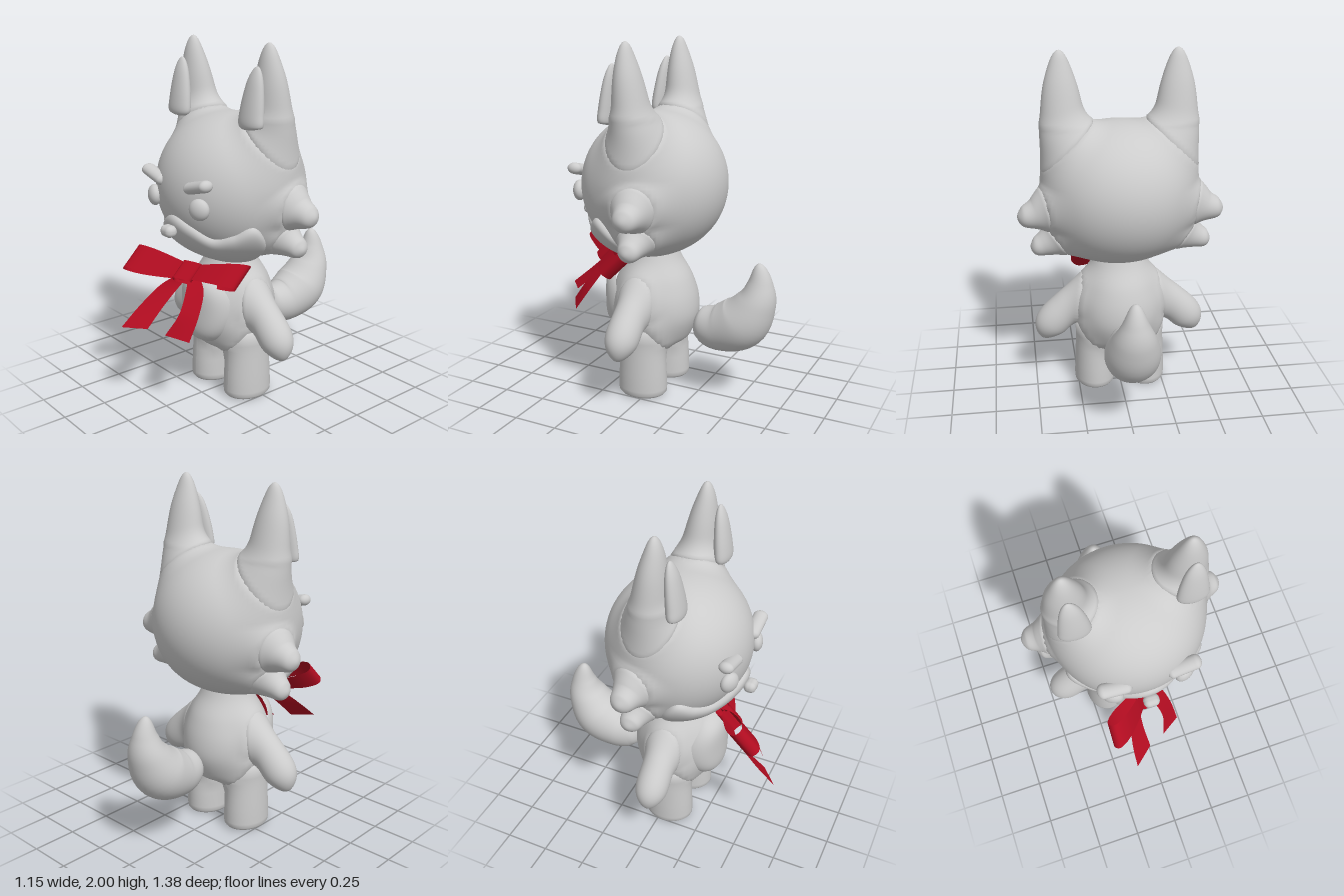
import * as THREE from 'three';
import { mergeVertices } from 'three/addons/utils/BufferGeometryUtils.js';
import { RoundedBoxGeometry } from 'three/addons/geometries/RoundedBoxGeometry.js';

const V = (x, y, z) => new THREE.Vector3(x, y, z);
const spline = (points, closed = false) => new THREE.CatmullRomCurve3(points, closed, 'catmullrom', 0.5);
const ringPath = (rings, mirror) => spline(rings.map(([x, y, z]) => V(x * mirror, y, z)));
// Squared radii are interpolated, so zero-radius ends become round.
const ringSize = (rings) => spline(rings.map((r) => V(r[3] ** 2, r[4] ** 2, 0)));

// Smooth surface through fn(u, v); the outside is du x dv.
function surface(fn, nu, nv) {
  const pos = [], index = [];
  for (let j = 0; j <= nv; j++) {
    for (let i = 0; i <= nu; i++) pos.push(...fn(i / nu, j / nv).toArray());
  }
  for (let j = 0; j < nv; j++) {
    for (let i = 0; i < nu; i++) {
      const a = j * (nu + 1) + i, d = a + nu + 1;
      index.push(a, a + 1, d + 1, a, d + 1, d);
    }
  }
  let g = new THREE.BufferGeometry();
  g.setAttribute('position', new THREE.Float32BufferAttribute(pos, 3));
  g.setIndex(index);
  g = mergeVertices(g, 1e-5);
  g.computeVertexNormals();
  return g;
}

// Elliptical rings [x, y, z, radius along side, radius across] along a spline.
function loft(rings, side, mirror = 1) {
  const path = ringPath(rings, mirror), size = ringSize(rings);
  return surface((u, v) => {
    const t = (1 - Math.cos(Math.PI * v)) / 2;
    const T = path.getTangent(t), r = size.getPoint(t), a = u * Math.PI * 2;
    const S = side.clone().addScaledVector(T, -side.dot(T)).normalize();
    const B = T.clone().cross(S);
    return path.getPoint(t)
      .addScaledVector(S, Math.cos(a) * Math.sqrt(Math.max(r.x, 0)))
      .addScaledVector(B, Math.sin(a) * Math.sqrt(Math.max(r.y, 0)));
  }, 48, 56);
}

// Approximate distance from a point to a loft.
function loftDistance(rings, mirror) {
  const path = ringPath(rings, mirror), size = ringSize(rings);
  const balls = Array.from({ length: 31 }, (_, i) => {
    const r = size.getPoint(i / 30);
    return [path.getPoint(i / 30), Math.sqrt((Math.max(r.x, 0) + Math.max(r.y, 0)) / 2)];
  });
  return (p) => Math.min(...balls.map(([c, r]) => p.distanceTo(c) - r));
}

// Swell a surface outward where it meets other parts, so they join in a soft fillet of width k.
function fillet(g, k, others) {
  const pos = g.attributes.position, nor = g.attributes.normal;
  const p = V(), n = V(), q = V();
  for (let i = 0; i < pos.count; i++) {
    p.fromBufferAttribute(pos, i);
    n.fromBufferAttribute(nor, i);
    let t = 0;
    for (let step = 0; step < 7; step++) {
      q.copy(p).addScaledVector(n, t);
      const d = Math.min(...others.map((f) => f(q)));
      const h = Math.max(k - Math.abs(t - d), 0) / k;
      t = (t + h * h * k / 4) / 2;
    }
    p.addScaledVector(n, t);
    pos.setXYZ(i, p.x, p.y, p.z);
  }
  g.computeVertexNormals();
  return g;
}

// Cloth strip between two edge curves.
function ribbon(left, right, closed = false) {
  const a = spline(left, closed), b = spline(right, closed);
  return surface((u, v) => a.getPoint(v).lerp(b.getPoint(v), u), 4, 40);
}

// Head surface by heading and elevation; s scales it outward.
const headPoint = (phi, e, s = 1) => {
  const c = Math.max(Math.cos(e), 0);
  return V(0.43 * s * c ** 0.8 * Math.sin(phi), 1.21 + 0.405 * s * Math.sin(e), 0.03 + 0.405 * s * c * Math.cos(phi));
};
const headDistance = (p) => {
  const y = (p.y - 1.21) / 0.405;
  const x = p.x / 0.43 * (1 - Math.min(y * y, 0.98)) ** 0.1;
  return (Math.hypot(x, y, (p.z - 0.03) / 0.405) - 1) * 0.41;
};
const bodyDistance = (p) => (Math.hypot(p.x / 0.25, (p.y - 0.53) / 0.28, (p.z - 0.03) / 0.25) - 1) * 0.25;

const BODY = [[0, 0.26, 0.03, 0, 0], [0, 0.3, 0.03, 0.18, 0.18], [0, 0.36, 0.03, 0.225, 0.222],
  [0, 0.46, 0.03, 0.25, 0.255], [0, 0.56, 0.03, 0.248, 0.25], [0, 0.67, 0.03, 0.215, 0.215],
  [0, 0.78, 0.03, 0.165, 0.15], [0, 0.9, 0.03, 0.12, 0.1]];
const EAR = [[0.26, 1.3, 0, 0.13, 0.13], [0.288, 1.5, 0, 0.137, 0.125], [0.303, 1.6, 0.008, 0.131, 0.11],
  [0.31, 1.69, 0.015, 0.115, 0.094], [0.315, 1.8, 0.025, 0.095, 0.076],
  [0.317, 1.91, 0.035, 0.062, 0.05], [0.318, 2, 0.038, 0, 0]];
const INNER_EAR = [[0.308, 1.568, 0.15, 0, 0], [0.307, 1.59, 0.15, 0.083, 0.042], [0.307, 1.66, 0.143, 0.081, 0.044],
  [0.312, 1.79, 0.128, 0.058, 0.034], [0.318, 1.887, 0.115, 0, 0]];
const UPPER_TUFT = [[0.3, 1.17, -0.04, 0.11, 0.12], [0.41, 1.15, -0.05, 0.088, 0.1], [0.475, 1.13, -0.057, 0.076, 0.078],
  [0.535, 1.118, -0.062, 0.063, 0.06], [0.573, 1.115, -0.065, 0, 0]];
const LOWER_TUFT = [[0.26, 1.02, -0.03, 0.09, 0.1], [0.36, 0.97, -0.04, 0.072, 0.075], [0.43, 0.945, -0.047, 0.063, 0.062],
  [0.475, 0.932, -0.05, 0.055, 0.051], [0.507, 0.927, -0.05, 0, 0]];
const ARM = [[0.08, 0.66, 0.035, 0.07, 0.08], [0.2, 0.6, 0.035, 0.085, 0.085], [0.31, 0.5, 0.035, 0.092, 0.097],
  [0.405, 0.4, 0.035, 0.09, 0.096], [0.46, 0.308, 0.035, 0, 0]];
const TAIL = [[0, 0.43, -0.222, 0, 0], [0, 0.425, -0.27, 0.095, 0.1], [0, 0.42, -0.38, 0.13, 0.135],
  [0, 0.478, -0.51, 0.152, 0.15], [0, 0.6, -0.588, 0.12, 0.112],
  [0, 0.71, -0.608, 0.072, 0.072], [0, 0.825, -0.6, 0, 0]];
const LEG_CORE = [[0.15, 0.1, 0.035, 0.112, 0.13], [0.15, 0.4, 0.035, 0.112, 0.13]];

export function createModel() {
  const model = new THREE.Group();
  model.name = 'bowTieFox';
  const grey = new THREE.MeshStandardMaterial({ color: 0xcccccc });
  const red = new THREE.MeshStandardMaterial({ color: 0xb00c20, side: THREE.DoubleSide });
  const X = V(1, 0, 0), Z = V(0, 0, 1);
  const add = (name, geometry, material = grey) => {
    const m = new THREE.Mesh(geometry, material);
    m.name = name;
    model.add(m);
    return m;
  };
  const bothSides = (...parts) => parts.flatMap((rings) => [loftDistance(rings, 1), loftDistance(rings, -1)]);

  // Head, swelling towards ears and cheek tufts
  const skull = surface((u, v) => headPoint((u - 0.5) * Math.PI * 2, (v - 0.5) * Math.PI), 96, 64);
  add('head', fillet(skull, 0.13, bothSides(EAR, UPPER_TUFT, LOWER_TUFT)));

  // Muzzle: a padded shell hugging the lower face, with a wavy upper edge
  const half = [-0.39, -0.55, -0.47, -0.35, -0.72];
  const lip = spline([...half.slice().reverse(), -0.27, ...half].map((e) => V(0, e, 0)));
  add('muzzle', surface((u, v) => {
    const w = Math.sin(v * Math.PI / 2);
    const k = -Math.cos(u * Math.PI);
    const edge = Math.sqrt(Math.max(0, (1 - Math.abs(k) ** 12) * (1 - w ** 14)));
    const e = THREE.MathUtils.lerp(-1.52, lip.getPoint((k + 1) / 2).y, w);
    return headPoint(k * 1.47, e, 0.975 + edge * (0.06 + 0.065 * w));
  }, 96, 40));

  const nose = add('nose', new RoundedBoxGeometry(0.09, 0.065, 0.07, 5, 0.03));
  nose.position.set(0, 1.02, 0.455);

  // Body, swelling towards arms and legs
  add('body', fillet(loft(BODY, X), 0.09, bothSides(ARM, LEG_CORE)));

  // Belly patch: a thin padded oval following the body
  add('bellyPatch', surface((u, v) => {
    const a = -u * Math.PI * 2, r = Math.sin(v * Math.PI / 2);
    const x = 0.19 * r * Math.cos(a), dy = 0.215 * r * Math.sin(a);
    const bulge = Math.sqrt((1 - (x / 0.255) ** 2) * (1 - (dy / 0.27) ** 4));
    return V(x, 0.54 + dy, 0.01 + 0.25 * bulge + 0.062 * Math.sqrt(Math.max(0, 1 - r ** 8)));
  }, 56, 24));

  // Tail, curling up behind
  add('tail', loft(TAIL, X));

  const legProfile = [[0, 0], [0.09, 0], [0.108, 0.006], [0.118, 0.02], [0.12, 0.045], [0.117, 0.14],
    [0.114, 0.2], [0.112, 0.25], [0.11, 0.29], [0.108, 0.33], [0.105, 0.4], [0, 0.42]]
    .map(([r, y]) => new THREE.Vector2(r, y));

  for (const s of [1, -1]) {
    const side = s > 0 ? 'left' : 'right';
    // Ears and cheek tufts
    add(side + 'Ear', fillet(loft(EAR, X, s), 0.13, [headDistance]));
    add(side + 'InnerEar', loft(INNER_EAR, X, s));
    add(side + 'UpperCheekTuft', fillet(loft(UPPER_TUFT, Z, s), 0.13, [headDistance]));
    add(side + 'LowerCheekTuft', fillet(loft(LOWER_TUFT, Z, s), 0.13, [headDistance]));

    // Eyes and slanted brows
    const eye = add(side + 'Eye', new THREE.SphereGeometry(0.058, 28, 20));
    eye.scale.z = 0.65;
    eye.position.set(0.2 * s, 1.17, 0.402);
    eye.rotation.y = 0.4 * s;
    const brow = add(side + 'Brow', new THREE.CapsuleGeometry(0.032, 0.128, 10, 24));
    brow.scale.z = 1.3;
    brow.position.set(0.19 * s, 1.286, 0.4);
    brow.rotation.z = s * (0.26 - Math.PI / 2);

    // Arms and legs
    add(side + 'Arm', fillet(loft(ARM, Z, s), 0.09, [bodyDistance]));
    const leg = new THREE.LatheGeometry(legProfile, 48).scale(1, 1, 1.2).translate(0.15 * s, 0, 0.035);
    add(side + 'Leg', fillet(leg, 0.09, [bodyDistance]));
  }

  // Bow: along, across and through directions of the tilted cloth
  const knot = V(0, 0.758, 0.335);
  const across = V(0, 0.68, -0.68);
  const through = V(0.55, 0.54, 0.54).normalize();
  const bowLoop = (along, outline, name) => {
    const edge = (sign) => outline.map(([a, n, w]) => knot.clone().addScaledVector(along, a)
      .addScaledVector(through, n).addScaledVector(across, w * sign));
    add(name, ribbon(edge(1), edge(-1), true), red);
  };
  const loopOutline = [[0.03, 0.008, 0.045], [0.3, 0.034, 0.058], [0.7, 0.048, 0.074], [0.96, 0.028, 0.08],
    [0.96, -0.028, 0.08], [0.7, -0.048, 0.074], [0.3, -0.034, 0.058], [0.03, -0.008, 0.045]];
  bowLoop(V(-0.25, 0.07, 0.205), loopOutline, 'rightBowLoop');
  bowLoop(V(0.26, -0.005, -0.18), loopOutline, 'leftBowLoop');
  bowLoop(V(0.04, -0.009, -0.032), [[1, 0, 0.06], [0.8, 0.04, 0.06], [-0.8, 0.04, 0.06],
    [-1, 0, 0.06], [-0.8, -0.04, 0.06], [0.8, -0.04, 0.06]], 'bowKnot');

  // Hanging bow ends
  add('rightBowEnd', ribbon(
    [V(-0.04, 0.75, 0.34), V(-0.11, 0.68, 0.44), V(-0.14, 0.58, 0.56), V(-0.147, 0.48, 0.68)],
    [V(0, 0.75, 0.3), V(-0.035, 0.68, 0.36), V(-0.045, 0.58, 0.47), V(-0.035, 0.48, 0.585)]), red);
  add('leftBowEnd', ribbon(
    [V(0.01, 0.75, 0.34), V(0.05, 0.68, 0.385), V(0.085, 0.57, 0.46), V(0.065, 0.465, 0.54)],
    [V(0.05, 0.75, 0.3), V(0.115, 0.675, 0.315), V(0.16, 0.56, 0.385), V(0.18, 0.44, 0.465)]), red);

  return model;
}
